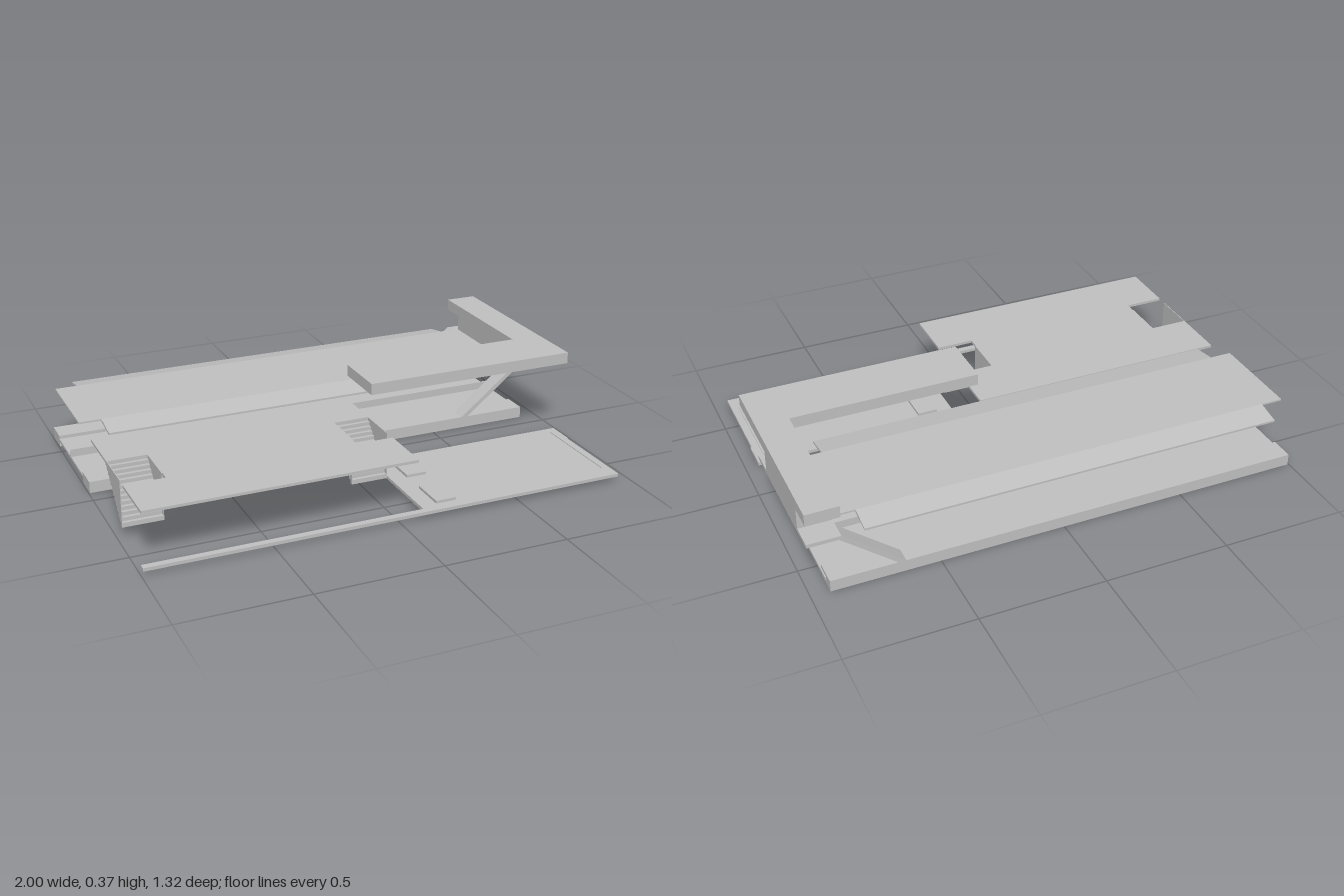
import * as THREE from 'three';

export function createModel() {
  const model = new THREE.Group();
  model.name = 'stationModel';
  const concrete = new THREE.MeshStandardMaterial({ color: 0xc0c0c0, side: THREE.DoubleSide });
  concrete.name = 'paleGrey';

  const add = (name, geometry) => {
    const mesh = new THREE.Mesh(geometry, concrete);
    mesh.name = name;
    model.add(mesh);
    return mesh;
  };

  // Box from its limits on each axis
  const box = (name, [x0, x1], [y0, y1], [z0, z1]) =>
    add(name, new THREE.BoxGeometry(x1 - x0, y1 - y0, z1 - z0)
      .translate((x0 + x1) / 2, (y0 + y1) / 2, (z0 + z1) / 2));

  const extrude = (points, depth) => new THREE.ExtrudeGeometry(
    new THREE.Shape(points.map(([a, b]) => new THREE.Vector2(a, b))),
    { depth, bevelEnabled: false });

  // Flat slab from an (x, z) outline
  const slab = (name, points, y0, y1) =>
    add(name, extrude(points, y1 - y0).rotateX(Math.PI / 2).translate(0, y1, 0));

  // Bar along x from a (z, y) section
  const alongX = (name, points, x0, x1) =>
    add(name, extrude(points, x1 - x0).rotateY(-Math.PI / 2).translate(x1, 0, 0));

  // Track bed: two side platforms, floor and centre divider
  box('frontPlatform', [-0.995, 0.925], [0, 0.047], [-0.17, -0.068]);
  box('backPlatform', [-0.995, 0.925], [0, 0.047], [-0.655, -0.555]);
  box('trackFloor', [-0.995, 0.93], [0.021, 0.033], [-0.61, -0.155]);
  box('trackDivider', [-0.995, 0.93], [0.033, 0.065], [-0.364, -0.358]);

  // Roof: flat centre with wings sloping down to both sides
  box('roofCentre', [-0.995, 0.87], [0.249, 0.256], [-0.56, -0.175]);
  alongX('frontRoofWing',
    [[-0.175, 0.256], [-0.175, 0.246], [-0.068, 0.23], [-0.068, 0.238]], -0.905, 0.785);
  alongX('backRoofWing',
    [[-0.56, 0.256], [-0.56, 0.246], [-0.655, 0.23], [-0.655, 0.238]], -0.905, 0.785);

  // End building: base slab, hall and L-shaped bridge
  box('hallFloor', [0.87, 1], [0.219, 0.234], [-0.655, -0.068]);
  box('hall', [0.87, 1], [0.234, 0.32], [-0.555, -0.173]);
  slab('bridge', [[0.1, -0.07], [0.87, -0.07], [0.87, -0.66], [1, -0.66], [1, 0.163], [0.1, 0.163]],
    0.32, 0.367);

  // Sloping legs that carry the end building
  for (const z of [-0.134, -0.656]) {
    add('slopingLeg', extrude(
      [[0.635, 0.047], [0.665, 0.047], [0.88, 0.22], [0.88, 0.234], [0.87, 0.234]], 0.066)
      .translate(0, 0, z));
  }

  // Mezzanine deck with a notch for each stair
  slab('mezzanine', [
    [-0.98, -0.055], [0.085, -0.055], [0.085, 0.16], [-0.065, 0.16], [-0.065, 0.39], [0.085, 0.39],
    [0.085, 0.615], [-0.98, 0.615], [-0.98, 0.39], [-0.82, 0.39], [-0.82, 0.16], [-0.98, 0.16],
  ], 0.221, 0.232);

  // Stairs down from the deck, with triangular side walls
  const steps = 13, zTop = 0.155, zEnd = 0.345, yTop = 0.232, yEnd = 0.045;
  const run = (zEnd - zTop) / steps, rise = (yTop - yEnd) / steps;
  const treads = [], soffit = [];
  for (let i = 0; i < steps; i++) {
    const z = zTop + i * run, y = yTop - i * rise;
    treads.push([z, y], [z + run, y]);
    soffit.unshift([z, y - rise], [z + run, y - rise]);
  }
  // Stepped underside runs back up just below the treads
  const under = soffit.map(([z, y]) => [z, y - 0.004]);
  under.sort((a, b) => a[1] - b[1] || b[0] - a[0]);
  for (const [x0, x1] of [[-0.98, -0.82], [-0.065, 0.085]]) {
    alongX('stair', [...treads, ...under], x0, x1);
    for (const x of [x0, x1 - 0.003]) {
      alongX('stairWall', [[zTop, yTop], [zEnd, yTop], [zEnd, yEnd]], x, x + 0.003);
    }
  }

  // Front forecourt with its long kerb, low end rail and two raised blocks
  slab('forecourt', [
    [0.1, 0.163], [0.952, 0.163], [0.952, 0.28], [0.947, 0.28], [0.947, 0.657],
    [-0.995, 0.657], [-0.995, 0.63], [0.1, 0.63],
  ], 0.021, 0.034);
  box('endRail', [0.914, 0.918], [0.034, 0.037], [0.2, 0.585]);
  for (const [z0, z1] of [[0.22, 0.36], [0.465, 0.61]]) {
    box('forecourtBlock', [0.165, 0.248], [0.009, 0.045], [z0, z1]);
  }

  return model;
}
